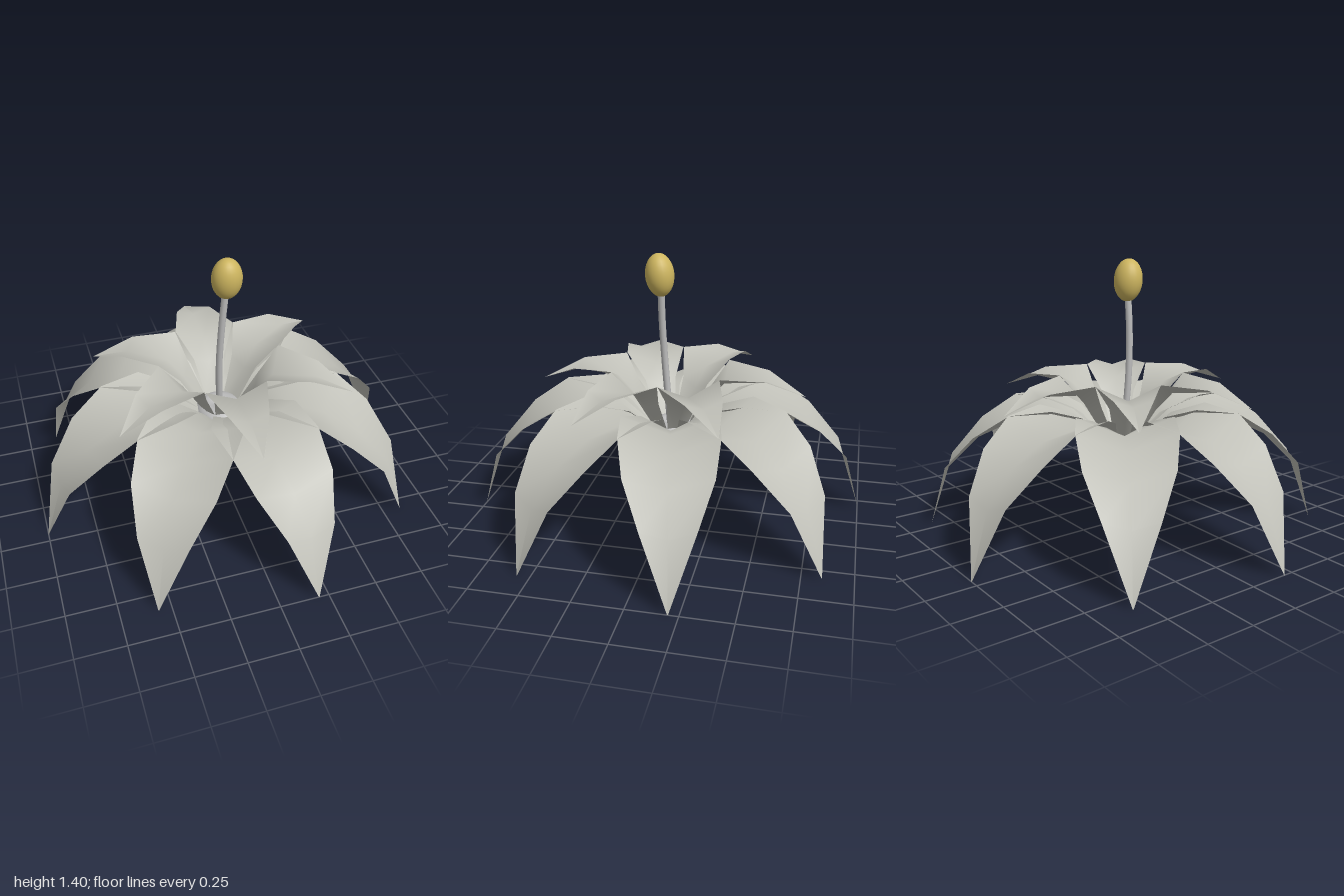
import * as THREE from 'three';

const petalMat = new THREE.MeshStandardMaterial({ name: 'petal grey', color: 0xc0c0b8, side: THREE.DoubleSide });
const stemMat = new THREE.MeshStandardMaterial({ name: 'stem grey', color: 0xbababa });
const budMat = new THREE.MeshStandardMaterial({ name: 'bud yellow', color: 0xcdb55f });

// Petal pointing along +z, rows of [radius, half width, edge height, midrib height]
function petalGeometry(rows) {
  const pos = [];
  const index = [];
  rows.forEach(([r, w, yEdge, yMid], i) => {
    pos.push(-w, yEdge, r, 0, yMid, r, w, yEdge, r);
    if (i === 0) return;
    for (let c = 0; c < 2; c++) {
      const a = (i - 1) * 3 + c;
      const b = a + 3;
      index.push(a, b, a + 1, a + 1, b, b + 1);
    }
  });
  const geo = new THREE.BufferGeometry();
  geo.setAttribute('position', new THREE.Float32BufferAttribute(pos, 3));
  geo.setIndex(index);
  geo.computeVertexNormals();
  return geo;
}

// Ring of identical petals around the y axis
function petalRing(name, rows, count, startAngle) {
  const ring = new THREE.Group();
  ring.name = name + 's';
  const geo = petalGeometry(rows);
  for (let i = 0; i < count; i++) {
    const petal = new THREE.Mesh(geo, petalMat);
    petal.name = name;
    petal.rotation.y = startAngle + (i * Math.PI * 2) / count;
    ring.add(petal);
  }
  return ring;
}

export function createModel() {
  const flower = new THREE.Group();
  flower.name = 'flower';

  // Large drooping petals
  flower.add(petalRing('outerPetal', [
    [0.09, 0.05, 0.47, 0.45],
    [0.21, 0.15, 0.61, 0.53],
    [0.36, 0.24, 0.67, 0.575],
    [0.57, 0.242, 0.65, 0.56],
    [0.755, 0.212, 0.53, 0.475],
    [0.915, 0.13, 0.35, 0.315],
    [1.02, 0.002, 0, 0],
  ], 8, 0.197));

  // Small funnel of pointed petals
  flower.add(petalRing('innerPetal', [
    [0.09, 0.05, 0.49, 0.48],
    [0.19, 0.085, 0.67, 0.63],
    [0.28, 0.16, 0.805, 0.73],
    [0.5, 0.095, 0.785, 0.755],
    [0.695, 0.002, 0.69, 0.69],
  ], 6, 0));

  // Rounded base ring under the petals
  const base = new THREE.Mesh(new THREE.TorusGeometry(0.07, 0.065, 16, 32), stemMat);
  base.name = 'base';
  base.rotation.x = Math.PI / 2;
  base.position.y = 0.44;
  flower.add(base);

  // Slender bent stalk
  const path = new THREE.CatmullRomCurve3([
    new THREE.Vector3(0, 0.42, 0),
    new THREE.Vector3(-0.012, 0.78, 0.033),
    new THREE.Vector3(-0.002, 1.02, 0.047),
    new THREE.Vector3(0.018, 1.24, 0.05),
  ]);
  const stalk = new THREE.Mesh(new THREE.TubeGeometry(path, 12, 0.018, 10), stemMat);
  stalk.name = 'stalk';
  flower.add(stalk);

  // Egg-shaped bud on the stalk
  const bud = new THREE.Mesh(new THREE.SphereGeometry(1, 24, 16), budMat);
  bud.name = 'bud';
  bud.scale.set(0.077, 0.11, 0.073);
  bud.position.set(0.02, 1.287, 0.055);
  bud.rotation.x = 0.1;
  flower.add(bud);

  return flower;
}
